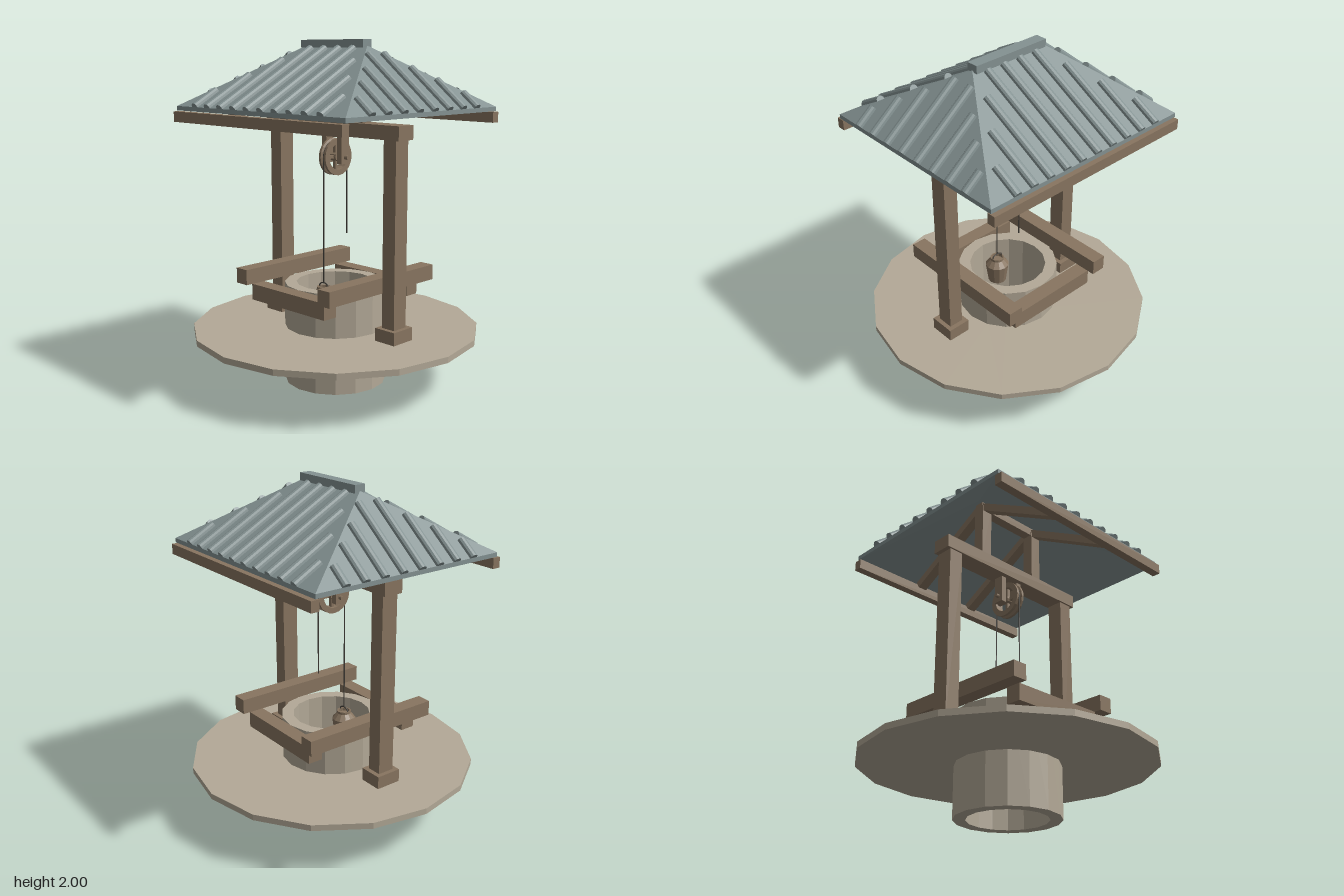
import * as THREE from 'three';

const mat = (name, color, extra = {}) => {
  const m = new THREE.MeshStandardMaterial({ color, flatShading: true, ...extra });
  m.name = name;
  return m;
};

export function createModel() {
  const stone = mat('stone', 0xb3a997);
  const wood = mat('wood', 0x887560);
  const metal = mat('roofMetal', 0x849292);
  const cord = mat('rope', 0x45413b);

  const model = new THREE.Group();
  model.name = 'well';

  const add = (name, geo, m, x = 0, y = 0, z = 0, parent = model) => {
    const mesh = new THREE.Mesh(geo, m);
    mesh.name = name;
    mesh.position.set(x, y, z);
    parent.add(mesh);
    return mesh;
  };
  // Box given by its size, centre x/z and bottom height
  const box = (name, w, h, d, x, y0, z, m = wood, parent = model) =>
    add(name, new THREE.BoxGeometry(w, h, d), m, x, y0 + h / 2, z, parent);
  // Lathe from [radius, height] pairs, listed upward along the outside
  const lathe = (pts, n) =>
    new THREE.LatheGeometry(pts.map(([r, y]) => new THREE.Vector2(r, y)), n);
  const ring = (ri, ro, y0, y1) =>
    lathe([[ri, y0], [ro, y0], [ro, y1], [ri, y1], [ri, y0]], 16);

  // Stone shaft and round platform
  add('wellShaft', ring(0.23, 0.3, 0, 0.595), stone);
  add('platform', ring(0.29, 0.845, 0.3, 0.335), stone);

  // Main timbers, mirrored
  for (const s of [-1, 1]) {
    box('curbBeamLong', 0.09, 0.09, 0.87, s * 0.34, 0.595, 0);
    box('curbBeamShort', 0.6, 0.095, 0.09, 0, 0.5, s * 0.345);
    box('postFoot', 0.14, 0.075, 0.155, s * 0.46, 0.335, 0);
    box('post', 0.088, 1.06, 0.1, s * 0.46, 0.41, 0);
    box('eaveBeam', 1.35, 0.06, 0.05, 0, 1.535, s * 0.615);
    box('kingPost', 0.07, 0.35, 0.07, s * 0.21, 1.54, 0);
  }
  box('crossBeam', 1.06, 0.08, 0.12, 0, 1.465, 0);
  box('ridgeBeam', 0.49, 0.05, 0.06, 0, 1.865, 0);

  // Hip roof shell
  const X = 0.675, Z = 0.615, R = 0.245, EAVE = 1.625, RISE = 0.34, T = 0.025;
  const corners = [[-X, 0, Z], [X, 0, Z], [X, 0, -Z], [-X, 0, -Z], [-R, RISE, 0], [R, RISE, 0]];
  const verts = [0, T].flatMap(t => corners.map(([x, y, z]) => [x, EAVE + y - t, z])).flat();
  const slopes = [[0, 1, 5], [0, 5, 4], [1, 2, 5], [2, 3, 4], [2, 4, 5], [3, 0, 4]];
  const index = [];
  for (const [a, b, c] of slopes) index.push(a, b, c, a + 6, c + 6, b + 6);
  for (let i = 0; i < 4; i++) {
    const j = (i + 1) % 4;
    index.push(i + 6, j + 6, j, i + 6, j, i);
  }
  let shell = new THREE.BufferGeometry();
  shell.setAttribute('position', new THREE.Float32BufferAttribute(verts, 3));
  shell.setIndex(index);
  shell = shell.toNonIndexed();
  shell.computeVertexNormals();
  add('roofShell', shell, metal);
  box('ridgeCap', 0.49, 0.045, 0.07, 0, 1.955, 0, metal);

  // Half-round ribs: [offset along the eave, inner end], running down the slope
  const ribs = (name, turn, eave, slope, list) => {
    const g = new THREE.Group();
    g.name = name;
    g.rotation.y = turn;
    model.add(g);
    const angle = Math.atan(slope);
    for (const [off, end] of list) for (const s of [-1, 1]) {
      const len = (eave - end) / Math.cos(angle);
      const geo = new THREE.CylinderGeometry(0.025, 0.025, len, 6, 1, false, Math.PI / 2, Math.PI);
      geo.rotateX(Math.PI / 2);
      const mid = (eave + end) / 2;
      add('roofRib', geo, metal, s * off, EAVE + slope * (eave - mid), mid, g).rotation.x = angle;
    }
  };
  const front = [[0.056, 0.03], [0.168, 0.03], [0.281, 0.15], [0.393, 0.305], [0.505, 0.46]];
  const side = [[0.062, 0.305], [0.185, 0.4], [0.308, 0.485], [0.431, 0.575]];
  for (const k of [0, 1]) {
    ribs('slopeRibs', k * Math.PI, Z, RISE / Z, front);
    ribs('hipRibs', Math.PI / 2 + k * Math.PI, X, RISE / (X - R), side);
  }

  // Rafters from the king posts to the eave beams
  const pitch = Math.atan(RISE / Z);
  for (const sx of [-1, 1]) for (const sz of [-1, 1]) {
    const r = add('rafter', new THREE.BoxGeometry(0.06, 0.045, 0.655), wood, sx * 0.21, 1.739, sz * 0.289);
    r.rotation.x = sz * pitch;
  }

  // Pulley: grooved wheel, spokes, axle and hangers
  const pulley = new THREE.Group();
  pulley.name = 'pulley';
  pulley.position.y = 1.337;
  model.add(pulley);
  const wheel = lathe([[0.075, -0.027], [0.108, -0.027], [0.108, -0.012], [0.092, -0.005],
    [0.092, 0.005], [0.108, 0.012], [0.108, 0.027], [0.075, 0.027], [0.075, -0.027]], 20);
  add('wheelRim', wheel.rotateZ(Math.PI / 2), wood, 0, 0, 0, pulley);
  box('spoke', 0.02, 0.16, 0.018, 0, -0.08, 0, wood, pulley);
  box('spoke', 0.02, 0.018, 0.16, 0, -0.009, 0, wood, pulley);
  const rod = (r, len) => new THREE.CylinderGeometry(r, r, len, 10).rotateZ(Math.PI / 2);
  add('hub', rod(0.025, 0.05), wood, 0, 0, 0, pulley);
  add('axle', rod(0.012, 0.205), wood, 0, 0, 0, pulley);
  for (const s of [-1, 1]) box('hanger', 0.035, 0.17, 0.06, s * 0.062, -0.037, 0, wood, pulley);

  // Rope over the wheel
  const ropeR = 0.004, ropeZ = 0.096;
  const rope = (z, y0) => add('rope', new THREE.CylinderGeometry(ropeR, ropeR, 1.337 - y0, 6),
    cord, 0, (1.337 + y0) / 2, z);
  rope(ropeZ, 0.6);
  rope(-ropeZ, 0.87);
  add('ropeArc', new THREE.TorusGeometry(ropeZ, ropeR, 6, 16, Math.PI).rotateY(Math.PI / 2), cord, 0, 1.337, 0);

  // Bucket hanging inside the shaft
  const bucket = lathe([[0, 0.41], [0.055, 0.41], [0.072, 0.53], [0.042, 0.565], [0.042, 0.58],
    [0.034, 0.58], [0.034, 0.56], [0, 0.56]], 12);
  add('bucket', bucket, wood, 0, 0, ropeZ);
  const bail = new THREE.CatmullRomCurve3([[-0.038, 0.572], [-0.03, 0.592], [0, 0.602], [0.03, 0.592], [0.038, 0.572]]
    .map(([x, y]) => new THREE.Vector3(x, y, 0)));
  add('bucketHandle', new THREE.TubeGeometry(bail, 10, 0.004, 6), cord, 0, 0, ropeZ);

  return model;
}
